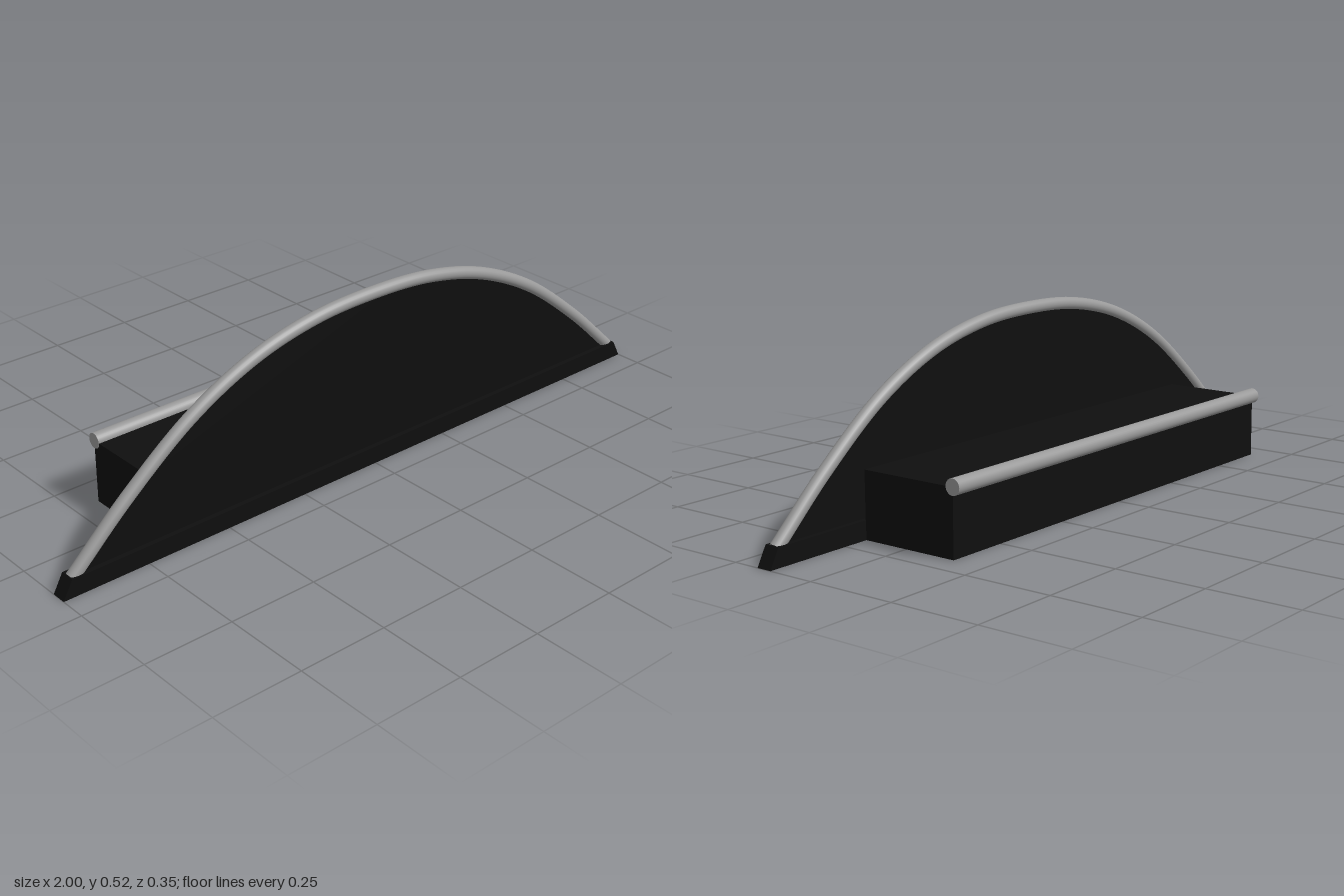
import * as THREE from 'three';

export function createModel() {
  const model = new THREE.Group();
  const black = new THREE.MeshStandardMaterial({ color: 0x0f0f0f });
  const grey = new THREE.MeshStandardMaterial({ color: 0x999999 });

  const add = (name, geometry, material, x = 0, y = 0, z = 0) => {
    const mesh = new THREE.Mesh(geometry, material);
    mesh.name = name;
    mesh.position.set(x, y, z);
    model.add(mesh);
    return mesh;
  };
  const box = (name, w, h, d, x, y, z) =>
    add(name, new THREE.BoxGeometry(w, h, d), black, x, y, z);

  const panelZ = 0.154, wall = 0.01;

  // Arched centre line, mirrored from one half
  const half = [[0.96, 0.041], [0.79, 0.196], [0.591, 0.345], [0.394, 0.439], [0.197, 0.486]];
  const points = [
    ...half.map(([x, y]) => new THREE.Vector3(-x, y, 0)),
    new THREE.Vector3(0, 0.4975, 0),
    ...half.slice().reverse().map(([x, y]) => new THREE.Vector3(x, y, 0)),
  ];
  const arch = new THREE.CatmullRomCurve3(points);

  // Rounded trim along the arch
  add('archTrim', new THREE.TubeGeometry(arch, 80, 0.0178, 20), grey, 0, 0, panelZ);

  // Thin arched panel filling the space below the trim
  const panel = new THREE.Shape(arch.getPoints(80).map((p) => new THREE.Vector2(p.x, p.y)));
  const panelDepth = 0.016;
  add('archPanel', new THREE.ExtrudeGeometry(panel, { depth: panelDepth, bevelEnabled: false }),
    black, 0, 0, panelZ - panelDepth / 2);

  // Base rail with slanted ends
  const rail = new THREE.Shape([[-1, 0], [1, 0], [0.972, 0.051], [-0.972, 0.051]]
    .map(([x, y]) => new THREE.Vector2(x, y)));
  add('baseRail', new THREE.ExtrudeGeometry(rail, { depth: 0.043, bevelEnabled: false }),
    black, 0, 0, 0.132);

  // Rear shelf, open underneath, with two ends and a middle divider
  const w = 1.354, h = 0.18, front = 0.133, back = -0.153;
  const depth = front - back, midZ = (front + back) / 2;
  box('shelfTop', w, wall, depth, 0, h - wall / 2, midZ);
  box('shelfBack', w, h - wall, wall, 0, (h - wall) / 2, back + wall / 2);
  for (const side of [-1, 0, 1]) {
    box(side ? 'shelfEnd' : 'shelfDivider', wall, h - wall, depth - wall,
      side * (w - wall) / 2, (h - wall) / 2, midZ + wall / 2);
  }

  // Round bar along the upper rear edge
  const bar = add('rearBar', new THREE.CylinderGeometry(0.0215, 0.0215, w + 0.002, 28),
    grey, 0, h, back);
  bar.rotation.z = Math.PI / 2;

  return model;
}
